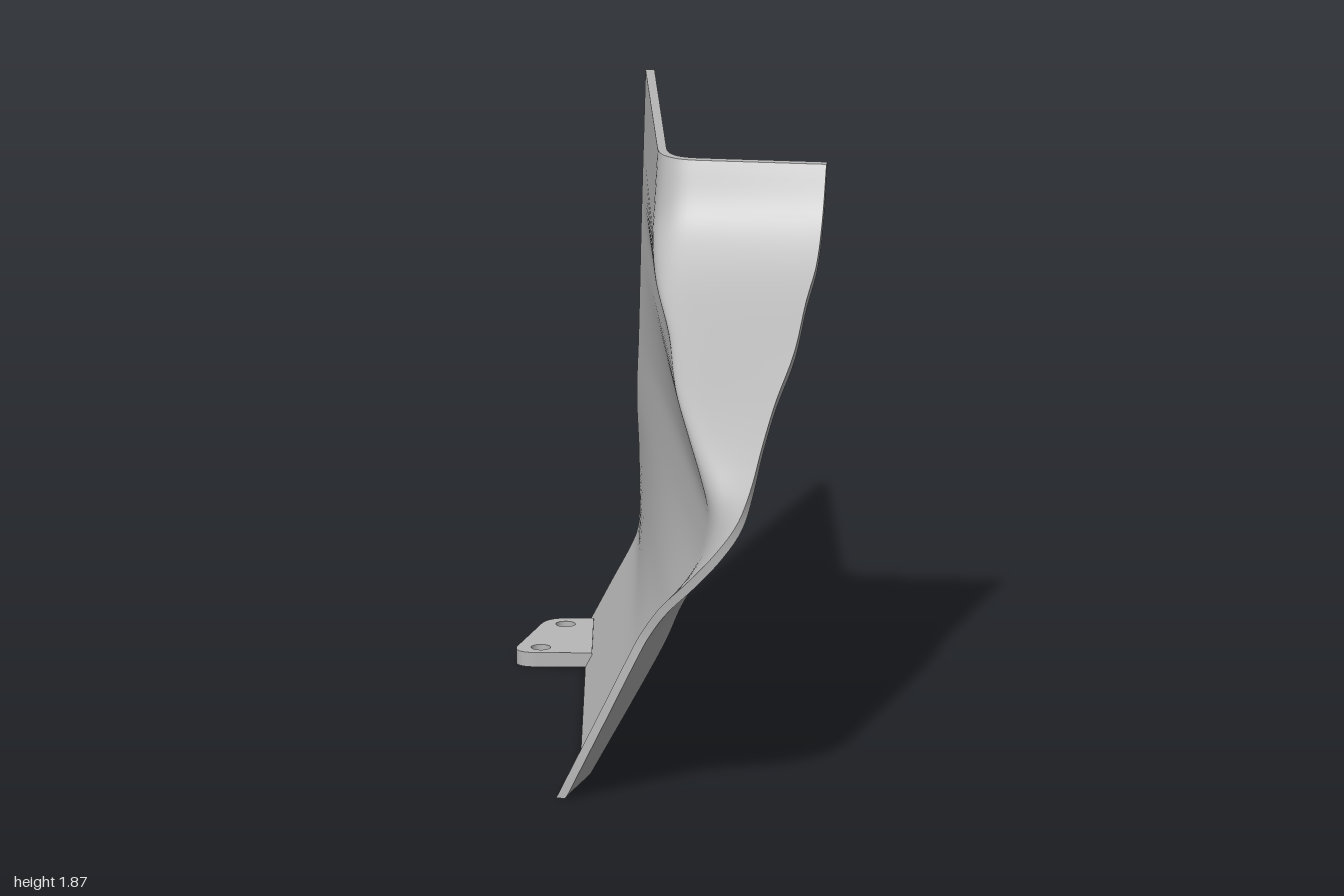
import * as THREE from 'three';
import { toCreasedNormals } from 'three/addons/utils/BufferGeometryUtils.js';

const HEIGHT = 1.87, THICK = 0.03;

// Guide lines, each row: height, x, z
const sideEdge = [[0, -0.94, -0.64], [0.15, -0.885, -0.695], [0.3, -0.83, -0.75], [0.36, -0.82, -0.763],
  [0.6, -0.82, -0.765], [0.8, -0.84, -0.775], [1, -0.867, -0.813], [1.4, -0.93, -0.895], [1.87, -1, -0.99]];
const foldLine = [[0, 0.3, 0.73], [0.3, 0.448, 0.655], [0.5, 0.546, 0.61], [0.63, 0.61, 0.602], [0.8, 0.74, 0.63],
  [0.9, 0.805, 0.655], [1, 0.835, 0.667], [1.1, 0.78, 0.645], [1.2, 0.665, 0.58], [1.3, 0.5, 0.465],
  [1.4, 0.28, 0.26], [1.5, 0.06, 0.09], [1.6, -0.06, -0.02], [1.7, -0.125, -0.1], [1.87, -0.17, -0.165]];
const flangeEdge = [[0, 0.43, 0.985], [0.3, 0.563, 0.92], [0.52, 0.66, 0.873], [0.6, 0.7, 0.858], [0.7, 0.775, 0.845],
  [0.8, 0.875, 0.82], [0.9, 0.955, 0.775], [1, 0.992, 0.7], [1.1, 0.96, 0.595], [1.2, 0.88, 0.455],
  [1.3, 0.775, 0.275], [1.4, 0.65, 0.05], [1.5, 0.49, -0.18], [1.58, 0.415, -0.31], [1.7, 0.34, -0.42], [1.87, 0.285, -0.5]];
const foldRadius = [[0, 0.012, 0], [0.6, 0.025, 0], [0.85, 0.05, 0], [1, 0.06, 0], [1.2, 0.09, 0], [1.5, 0.13, 0], [1.87, 0.13, 0]];

// Smooth interpolation of a guide line by height
function at(line, y) {
  let i = 0;
  while (i < line.length - 2 && y > line[i + 1][0]) i++;
  const a = line[i], b = line[i + 1], h = b[0] - a[0], t = (y - a[0]) / h;
  const slope = (k, c) => {
    const p = line[Math.max(k - 1, 0)], q = line[Math.min(k + 1, line.length - 1)];
    return (q[c] - p[c]) / (q[0] - p[0]);
  };
  const value = c => (2 * t ** 3 - 3 * t * t + 1) * a[c] + (t ** 3 - 2 * t * t + t) * h * slope(i, c)
    + (3 * t * t - 2 * t ** 3) * b[c] + (t ** 3 - t * t) * h * slope(i + 1, c);
  return new THREE.Vector3(value(1), y, value(2));
}

// One level section: straight wall, rounded fold, straight flange
function section(y) {
  const a = at(sideEdge, y), b = at(foldLine, y), c = at(flangeEdge, y), r = at(foldRadius, y).x;
  const p = b.clone().addScaledVector(a.clone().sub(b).normalize(), r);
  const q = b.clone().addScaledVector(c.clone().sub(b).normalize(), r);
  const arc = new THREE.QuadraticBezierCurve3(p, b, q);
  const points = [];
  for (let i = 0; i < 14; i++) {
    const v = a.clone().lerp(p, i / 14);
    v.y -= 0.02 * (1 - i / 14) * (y / HEIGHT);
    points.push(v);
  }
  for (let i = 0; i <= 10; i++) points.push(arc.getPoint(i / 10));
  for (let i = 1; i <= 6; i++) points.push(q.clone().lerp(c, i / 6));
  return points;
}

// Closed sheet: front skin, offset back skin and rims
function panelGeometry() {
  const rows = 76, grid = [];
  for (let j = 0; j <= rows; j++) grid.push(section(HEIGHT * j / rows));
  const n = grid[0].length, count = n * (rows + 1), front = [], back = [], index = [];
  for (let j = 0; j <= rows; j++) {
    for (let i = 0; i < n; i++) {
      const du = grid[j][Math.min(i + 1, n - 1)].clone().sub(grid[j][Math.max(i - 1, 0)]);
      const dv = grid[Math.min(j + 1, rows)][i].clone().sub(grid[Math.max(j - 1, 0)][i]);
      const normal = du.cross(dv);
      if (j === 0 || j === rows) normal.y = 0;
      normal.normalize();
      const p = grid[j][i], q = p.clone().addScaledVector(normal, -THICK);
      q.y = THREE.MathUtils.clamp(q.y, 0, HEIGHT);
      front.push(p.x, p.y, p.z);
      back.push(q.x, q.y, q.z);
    }
  }
  const quad = (a, b, c, d) => index.push(a, b, c, a, c, d);
  for (let j = 0; j < rows; j++) {
    for (let i = 0; i < n - 1; i++) {
      const a = j * n + i;
      quad(a, a + 1, a + n + 1, a + n);
      quad(count + a, count + a + n, count + a + n + 1, count + a + 1);
    }
    const l = j * n, r = l + n - 1;
    quad(l, l + n, count + l + n, count + l);
    quad(r, count + r, count + r + n, r + n);
  }
  for (let i = 0; i < n - 1; i++) {
    const t = rows * n + i;
    quad(i, count + i, count + i + 1, i + 1);
    quad(t, t + 1, count + t + 1, count + t);
  }
  const geometry = new THREE.BufferGeometry();
  geometry.setAttribute('position', new THREE.Float32BufferAttribute([...front, ...back], 3));
  geometry.setIndex(index);
  return toCreasedNormals(geometry, 0.7);
}

// Flat tab with rounded outer corners and two bolt holes
function tabGeometry() {
  const s = new THREE.Shape();
  s.moveTo(-0.86, 0.585);
  s.lineTo(-0.93, 0.525);
  s.quadraticCurveTo(-0.975, 0.48, -0.945, 0.42);
  s.lineTo(-0.815, 0.16);
  s.quadraticCurveTo(-0.775, 0.095, -0.715, 0.145);
  s.lineTo(-0.575, 0.27);
  s.closePath();
  for (const [x, y] of [[-0.882, 0.47], [-0.748, 0.205]]) {
    const hole = new THREE.Path();
    hole.absarc(x, y, 0.033, 0, Math.PI * 2, true);
    s.holes.push(hole);
  }
  const g = new THREE.ExtrudeGeometry(s, { depth: 0.05, bevelEnabled: false, curveSegments: 16 });
  g.rotateX(-Math.PI / 2);
  return toCreasedNormals(g, 0.6);
}

export function createModel() {
  const model = new THREE.Group();
  model.name = 'curvedPanel';
  const grey = new THREE.MeshStandardMaterial({ color: 0xb8b8b8 });
  grey.name = 'plain grey';
  const add = (name, geometry) => {
    const mesh = new THREE.Mesh(geometry, grey);
    mesh.name = name;
    model.add(mesh);
  };
  add('foldedPanel', panelGeometry());
  add('mountingTab', tabGeometry());
  return model;
}
